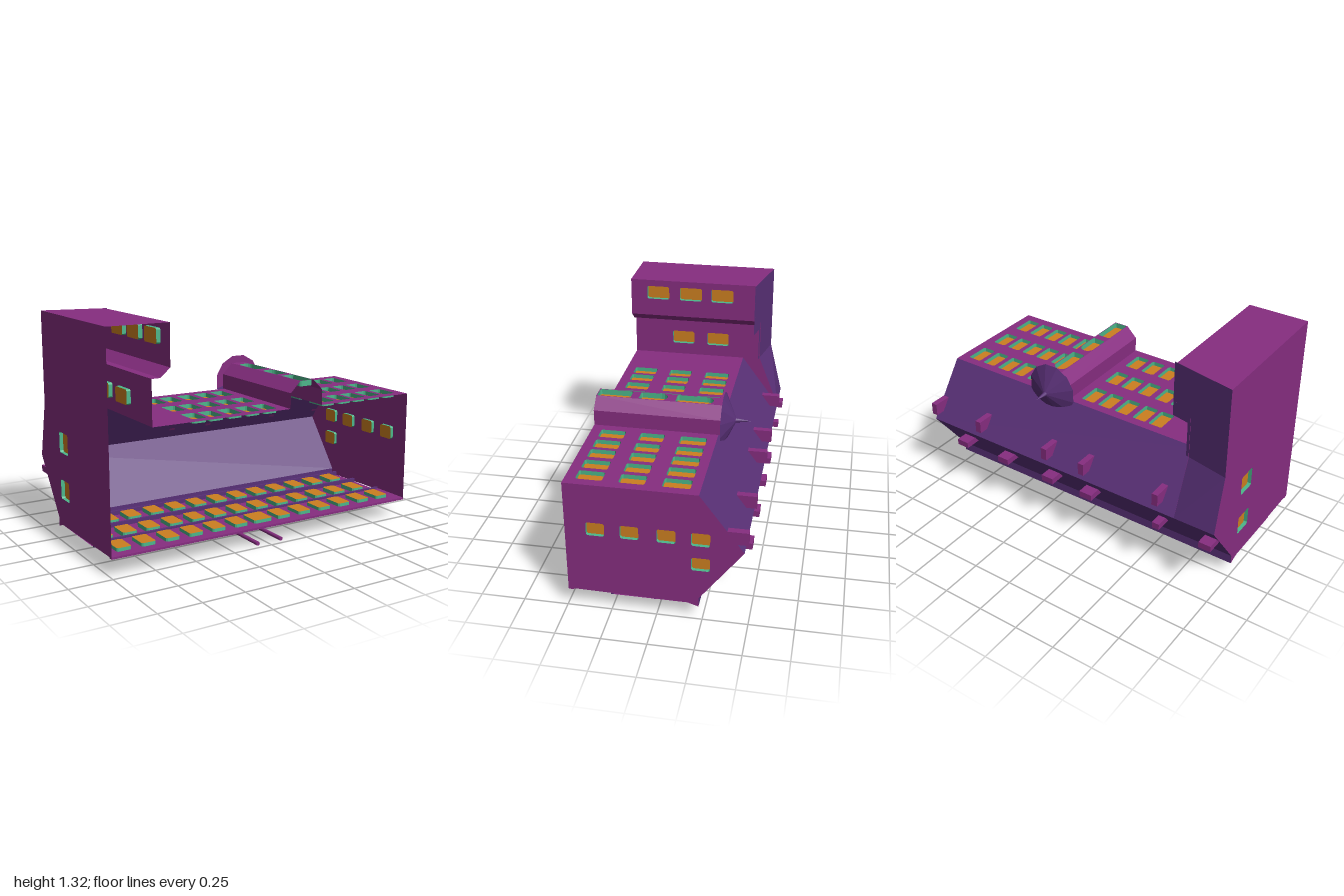
import * as THREE from 'three';

const paint = (name, color) => {
  const m = new THREE.MeshStandardMaterial({ color, side: THREE.DoubleSide });
  m.name = name;
  return m;
};

export function createModel() {
  const root = new THREE.Group();
  const wall = paint('wall purple', 0x862d80);
  const roof = paint('roof violet', 0x593077);
  const glass = paint('window orange', 0xcc7f20);
  const frame = paint('reveal green', 0x4cb68a);

  const add = (name, geometry, material, parent = root) => {
    const mesh = new THREE.Mesh(geometry, material);
    mesh.name = name;
    parent.add(mesh);
    return mesh;
  };

  const box = (name, x0, x1, y0, y1, z0, z1, material) => {
    const g = new THREE.BoxGeometry(x1 - x0, y1 - y0, z1 - z0);
    g.translate((x0 + x1) / 2, (y0 + y1) / 2, (z0 + z1) / 2);
    return add(name, g, material);
  };

  // Flat-shaded strips of quads between matching rails of [x, y, z] points
  const strips = (pairs) => {
    const p = [];
    for (const [a, b] of pairs) {
      for (let i = 0; i + 1 < a.length; i++) {
        p.push(...a[i], ...b[i], ...b[i + 1], ...a[i], ...b[i + 1], ...a[i + 1]);
      }
    }
    const g = new THREE.BufferGeometry();
    g.setAttribute('position', new THREE.Float32BufferAttribute(p, 3));
    g.computeVertexNormals();
    return g;
  };
  const alongX = (pts, x0, x1) => strips([[pts.map(([z, y]) => [x0, y, z]), pts.map(([z, y]) => [x1, y, z])]]);
  const alongZ = (pts, z0, z1) => strips([[pts.map(([x, y]) => [x, y, z0]), pts.map(([x, y]) => [x, y, z1])]]);

  const polygon = (pts) => new THREE.Shape(pts.map(([u, v]) => new THREE.Vector2(u, v)));

  // Window outline: clipped corners, or a round head
  const windowPoints = ([u0, u1, v0, v1, arched]) => {
    const c = 0.008;
    const pts = [[u0 + c, v0], [u1 - c, v0], [u1, v0 + c]];
    if (arched) {
      const r = (u1 - u0) / 2;
      for (let i = 0; i <= 8; i++) {
        const t = (i / 8) * Math.PI;
        pts.push([u0 + r + r * Math.cos(t), v1 - r + r * Math.sin(t)]);
      }
    } else pts.push([u1, v1 - c], [u1 - c, v1], [u0 + c, v1], [u0, v1 - c]);
    pts.push([u0, v0 + c]);
    return pts;
  };

  // Wall with recessed windows, built in its own plane and then turned into place
  const panel = (name, outline, windows, depth, rotation, position) => {
    const group = new THREE.Group();
    group.name = name;
    const holes = windows.map(windowPoints);
    const shape = polygon(outline);
    shape.holes = holes.map(polygon);
    add('wallFace', new THREE.ShapeGeometry(shape), wall, group);
    if (holes.length) {
      add('windowReveals', strips(holes.map((h) => {
        const loop = [...h, h[0]];
        return [loop.map(([u, v]) => [u, v, 0]), loop.map(([u, v]) => [u, v, -depth])];
      })), frame, group);
      add('windowPanes', new THREE.ShapeGeometry(holes.map(polygon)).translate(0, 0, -depth), glass, group);
    }
    group.rotation.set(...rotation);
    group.position.set(...position);
    root.add(group);
  };
  const H = Math.PI / 2;
  const UP = [-H, 0, 0], DOWN = [H, 0, 0], RIGHT = [0, H, 0], LEFT = [0, -H, 0];

  // Upper facade, u = x and v = -z, notched for the stair turret
  const rows = [[-0.433, -0.289], [-0.203, -0.064], [0.027, 0.176]];
  const upper = [];
  for (const x of [-0.433, -0.325, -0.203, -0.085, 0.03, 0.442, 0.562, 0.672, 0.789, 0.904])
    for (const [a, b] of rows) upper.push([x - 0.043, x + 0.043, a, b]);
  panel('upperFacade', [[-0.75, -0.49], [0.127, -0.49], [0.127, 0.23], [0.347, 0.23], [0.347, -0.49],
    [1, -0.49], [1, 0.23], [-0.75, 0.23]], upper, 0.025, UP, [0, 0.785, 0]);

  // Lower facade, u = x and v = z, in two planes with a slight step
  const ground = [], floors = [];
  for (let i = -6; i <= 6; i++) {
    const x = -0.01 + i * 0.148, w = i === 0 ? 0.06 : 0.043;
    ground.push([x - w, x + w, 0.3, 0.43]);
    for (const [a, b] of [[0.07, 0.2], [-0.165, -0.035]]) floors.push([x - 0.043, x + 0.043, a, b]);
  }
  panel('groundFloorFacade', [[-1, 0.24], [1, 0.24], [1, 0.49], [-1, 0.49]], ground, 0.02, DOWN, [0, 0.12, 0]);
  panel('lowerFacade', [[-1, -0.2], [1, -0.2], [1, 0.24], [-1, 0.24]], floors, 0.025, DOWN, [0, 0.105, 0]);
  add('eave', alongX([[-0.17, 0.105], [-0.23, 0.085]], -1, 1), wall);
  box('plinth', -1, 1, 0.108, 0.12, 0.46, 0.49, wall);
  for (const z of [0.245, 0.01, -0.185]) box('stringCourse', -0.995, 0.995, 0.1, 0.13, z - 0.008, z + 0.008, roof);

  // Right end, u = -z and v = y
  const ends = [[0.324, 0.515], [0.14, 0.515], [-0.057, 0.515], [-0.24, 0.515], [-0.24, 0.36]]
    .map(([z, y]) => [-z - 0.05, -z + 0.05, y - 0.04, y + 0.04]);
  panel('rightEnd', [[-0.49, 0.115], [0.17, 0.105], [0.23, 0.085], [0.23, 0.14], [0.47, 0.46], [0.23, 0.785],
    [-0.49, 0.785]], ends, 0.02, RIGHT, [1, 0, 0]);

  // Left end, u = z and v = y, rising into the tower
  panel('leftEnd', [[0.49, 0.115], [0.49, 1.325], [-0.39, 1.325], [-0.39, 0.79], [-0.47, 0.46], [-0.23, 0.14],
    [-0.23, 0.085], [-0.17, 0.105]], [[-0.18, -0.06, 0.54, 0.66], [-0.18, -0.06, 0.265, 0.38]], 0.022, LEFT, [-1, 0, 0]);

  // Main roof
  add('upperRoofSlope', alongX([[-0.23, 0.785], [-0.47, 0.46]], -0.75, 1), roof);
  add('lowerRoofSlope', alongX([[-0.47, 0.46], [-0.23, 0.14], [-0.23, 0.085]], -1, 1), roof);

  // Chimneys end flush against the slope they stand on
  const chimney = (x0, x1, pts) => {
    const shape = polygon(pts.map(([z, y]) => [-z, y]));
    const g = new THREE.ExtrudeGeometry(shape, { depth: x1 - x0, bevelEnabled: false });
    add('chimney', g.rotateY(H).translate(x0, 0, 0), wall);
  };
  for (const x of [-0.655, -0.16, 0.105, 0.605, 0.962])
    chimney(x, x + 0.038, [[-0.378, 0.585], [-0.433, 0.51], [-0.49, 0.51], [-0.49, 0.585]]);
  for (const [a, b] of [[-0.995, -0.92], [-0.67, -0.625], [-0.213, -0.13], [0.065, 0.145], [0.405, 0.483], [0.725, 0.805]])
    chimney(a, b, [[-0.39, 0.353], [-0.418, 0.39], [-0.49, 0.39], [-0.49, 0.353]]);

  // Tower walls
  const topWindows = [0.314, 0.103, -0.1].map((z) => [-z - 0.071, -z + 0.071, 1.2, 1.285]);
  panel('towerUpperSide', [[-0.49, 1.09], [0.313, 1.09], [0.313, 1.325], [-0.49, 1.325]],
    topWindows, 0.025, RIGHT, [-0.64, 0, 0]);
  const lowWindows = [0.17, -0.06].map((z) => [-z - 0.071, -z + 0.071, 0.86, 0.945]);
  panel('towerLowerSide', [[-0.49, 0.785], [0.23, 0.785], [0.47, 0.46], [0.34, 0.79], [0.34, 1.04], [-0.49, 1.04]],
    lowWindows, 0.025, RIGHT, [-0.75, 0, 0]);
  add('towerCorbel', alongZ([[-0.64, 1.09], [-0.7, 1.04], [-0.75, 1.04]], 0.49, -0.315), wall);
  add('towerTop', strips([[[[-1, 1.325, 0.49], [-0.64, 1.325, 0.49]], [[-1, 1.325, -0.39], [-0.64, 1.325, -0.313]]]]), wall);

  // Tower roof: slanted plate, overhang and skirt running down to the ridge
  const rz = (x) => -0.39 + (x + 1) * 0.214;
  const plate = (x0, x1, y0, y1) => [[[x0, y1, rz(x0)], [x1, y1, rz(x1)]], [[x0, y0, rz(x0)], [x1, y0, rz(x1)]]];
  add('towerRoof', strips([
    plate(-1, -0.73, 0.79, 1.325), plate(-0.73, -0.625, 1.0, 1.325),
    [[[-1, 0.79, -0.39], [-0.75, 0.79, rz(-0.75)]], [[-1, 0.46, -0.47], [-0.75, 0.46, -0.47]]],
  ]), roof);

  // Stair turret: five sides of an octagon
  const tx = 0.237, ty = 0.83;
  add('turretSides', strips([1, -1].map((s) => {
    const pts = [[0.0456, 0.94], [0.11, 0.8756], [0.11, 0.785]];
    return [pts.map(([x, y]) => [tx + s * x, y, 0.49]), pts.map(([x, y]) => [tx + s * x, y, -0.245])];
  })), wall);
  const tw = [tx - 0.042, tx + 0.042];
  panel('turretFace', [[tx - 0.0456, -0.49], [tx + 0.0456, -0.49], [tx + 0.0456, 0.245], [tx - 0.0456, 0.245]],
    [[...tw, -0.486, -0.29], [...tw, -0.243, -0.08, true], [...tw, -0.03, 0.185, true]], 0.033, UP, [0, 0.94, 0]);

  // Turret cap with eave and spike
  const step = Math.PI / 6;
  add('turretEave', new THREE.RingGeometry(0.11, 0.16, 7, 1, -step / 2, step * 7).translate(tx, ty, -0.245), wall);
  const cap = new THREE.ConeGeometry(0.16, 0.075, 12, 1, true).toNonIndexed();
  cap.rotateY(step / 2).rotateX(-H).translate(tx, ty, -0.2825);
  cap.computeVertexNormals();
  add('turretCap', cap, roof);
  add('turretSpike', new THREE.ConeGeometry(0.016, 0.1, 8).rotateX(-H).translate(tx, ty, -0.352), roof);

  // Porch, its columns and the balconies
  box('porchRoof', -0.105, 0.09, 0.002, 0.112, 0.2, 0.24, wall);
  for (const x of [-0.087, 0.072])
    add('porchColumn', new THREE.CylinderGeometry(0.012, 0.012, 0.25, 8).rotateX(H).translate(x, 0.022, 0.365), wall);
  for (const x of [-0.375, 0.248]) box('balcony', x, x + 0.095, 0.025, 0.108, 0.025, 0.08, wall);

  // Rest the porch edge on the floor
  for (const part of root.children) part.position.y -= 0.002;
  return root;
}
